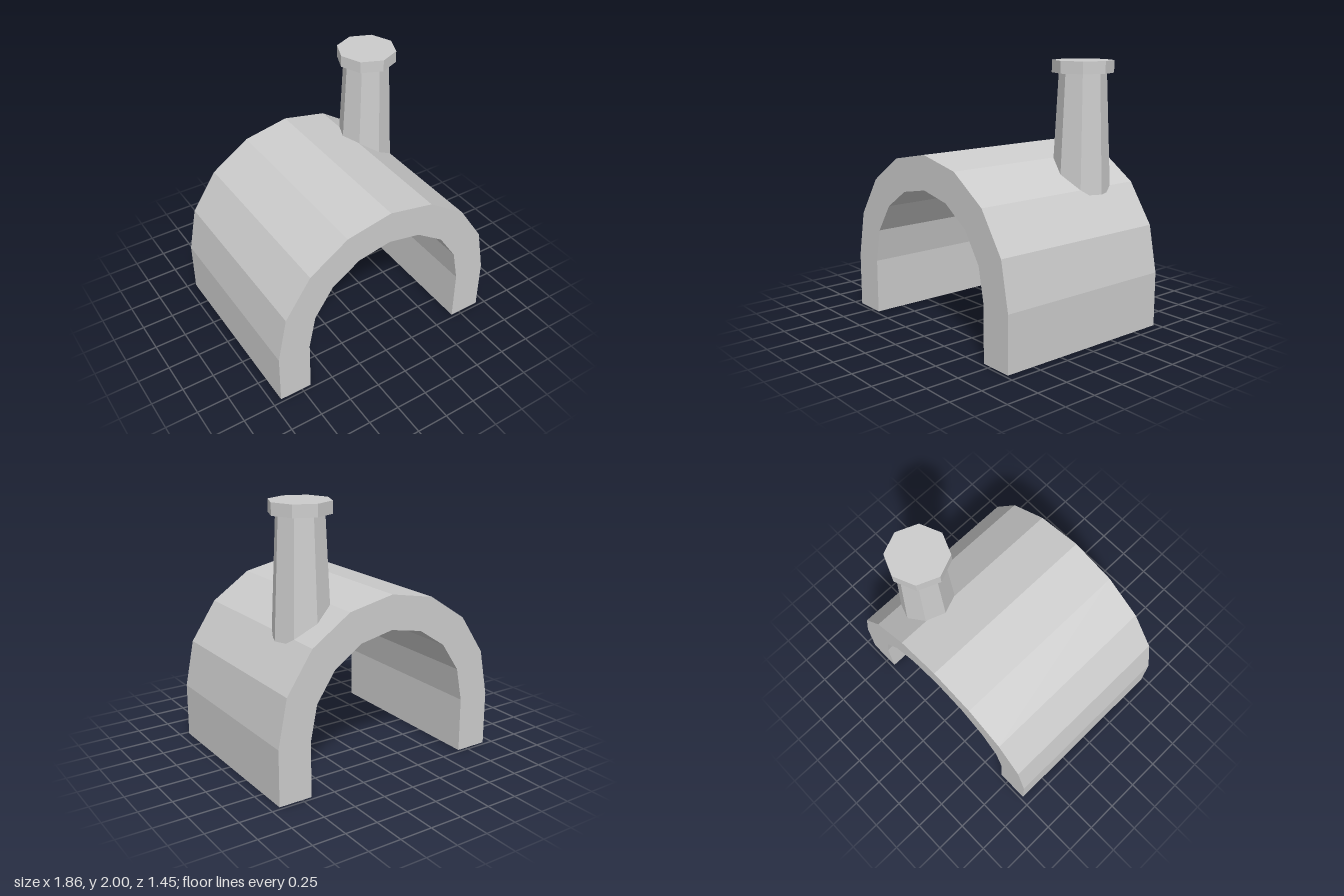
import * as THREE from 'three';

export function createModel() {
  const model = new THREE.Group();
  model.name = 'archedShelter';
  const grey = new THREE.MeshStandardMaterial({ color: 0xcccccc });
  grey.name = 'lightGrey';
  grey.flatShading = true;

  const add = (name, geometry, x, y, z) => {
    const mesh = new THREE.Mesh(geometry, grey);
    mesh.name = name;
    mesh.position.set(x, y, z);
    model.add(mesh);
  };

  // Vaulted shell: straight walls below an eight-sided half round
  const springY = 0.42, outerR = 0.93, innerR = 0.675, depth = 1.45, steps = 8;
  const arc = (r, ry) => Array.from({ length: steps + 1 }, (_, i) => {
    const a = (i / steps) * Math.PI;
    return new THREE.Vector2(r * Math.cos(a), springY + ry * Math.sin(a));
  });
  const profile = new THREE.Shape([
    new THREE.Vector2(outerR, 0),
    ...arc(outerR, outerR),
    new THREE.Vector2(-outerR, 0),
    new THREE.Vector2(-innerR, 0),
    ...arc(innerR, 0.673).reverse(),
    new THREE.Vector2(innerR, 0),
  ]);
  add('vaultedShell', new THREE.ExtrudeGeometry(profile, { depth, bevelEnabled: false }), 0, 0, -depth / 2);

  // Tapered octagonal chimney, sunk into the roof, with a wider cap
  const cx = 0.505, cz = -0.34, baseY = 1.037, capY = 1.91, topY = 2;
  add('chimneyShaft', new THREE.CylinderGeometry(0.175, 0.217, capY - baseY, 8), cx, (baseY + capY) / 2, cz);
  add('chimneyCap', new THREE.CylinderGeometry(0.226, 0.226, topY - capY, 8), cx, (capY + topY) / 2, cz);

  return model;
}
